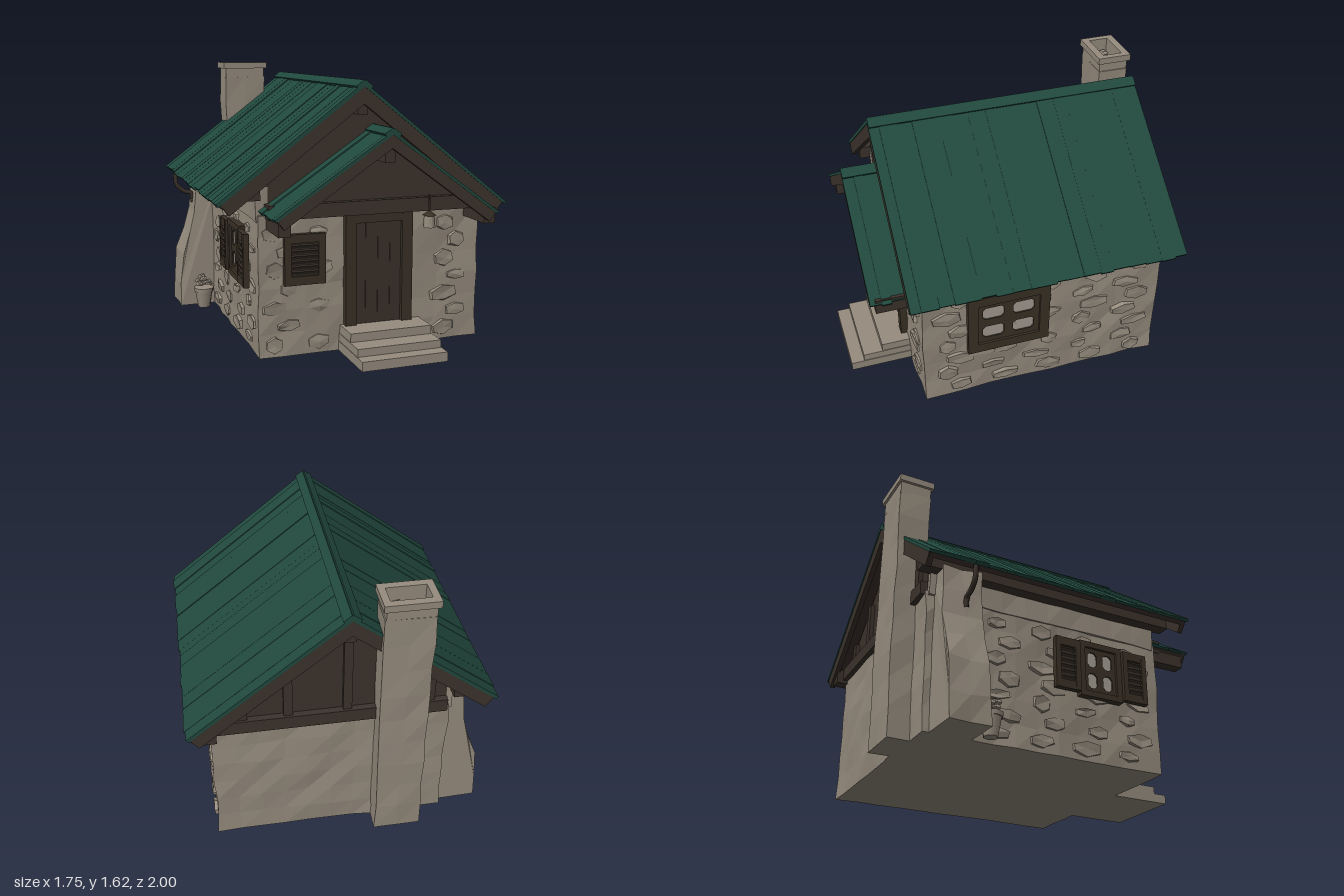
import * as THREE from 'three';

const mat = (name, color, side = THREE.FrontSide) => {
  const m = new THREE.MeshStandardMaterial({ color, side });
  m.name = name;
  return m;
};

export function createModel() {
  const house = new THREE.Group();
  house.name = 'cottage';
  const stone = mat('stone', 0x978d7f);
  const green = mat('roofGreen', 0x21493e);
  const timber = mat('timber', 0x3c332c);
  const frameWood = mat('frameWood', 0x393126);
  const doorWood = mat('doorWood', 0x3a302a);
  const pane = mat('paneGrey', 0xa69f94);

  let seed = 7;
  const rnd = () => (seed = (seed * 16807) % 2147483647) / 2147483647;
  const hash = (x, y, z) => {
    const s = Math.sin(x * 127.1 + y * 311.7 + z * 74.7) * 43758.5453;
    return (s - Math.floor(s)) * 2 - 1;
  };

  const add = (parent, name, geo, material, x = 0, y = 0, z = 0) => {
    const m = new THREE.Mesh(geo, material);
    m.name = name;
    m.position.set(x, y, z);
    parent.add(m);
    return m;
  };
  // box given by its limits
  const box = (parent, name, material, x0, x1, y0, y1, z0, z1) =>
    add(parent, name, new THREE.BoxGeometry(x1 - x0, y1 - y0, z1 - z0), material,
      (x0 + x1) / 2, (y0 + y1) / 2, (z0 + z1) / 2);
  // shift vertices by a position hash, then facet
  const rough = (geo, amp) => {
    const p = geo.attributes.position;
    for (let i = 0; i < p.count; i++) {
      const x = Math.round(p.getX(i) * 1000) / 1000;
      const y = Math.round(p.getY(i) * 1000) / 1000;
      const z = Math.round(p.getZ(i) * 1000) / 1000;
      const ground = y < 0.001;
      p.setXYZ(i, x + amp * hash(x, y, z), ground ? 0 : y + amp * hash(y, z, x), z + amp * hash(z, x, y));
    }
    const g = geo.index ? geo.toNonIndexed() : geo;
    g.computeVertexNormals();
    return g;
  };
  const stoneBox = (name, x0, x1, y0, y1, z0, z1, amp = 0.008, cell = 0.14) => {
    const n = (a, b) => Math.max(1, Math.round((b - a) / cell));
    const g = new THREE.BoxGeometry(x1 - x0, y1 - y0, z1 - z0, n(x0, x1), n(y0, y1), n(z0, z1));
    g.translate((x0 + x1) / 2, (y0 + y1) / 2, (z0 + z1) / 2);
    return add(house, name, rough(g, amp), stone);
  };
  const polygon = (pts) => new THREE.Shape(pts.map(([x, y]) => new THREE.Vector2(x, y)));
  const extrude = (shape, depth) => new THREE.ExtrudeGeometry(shape, { depth, bevelEnabled: false });
  // sloping slab between offsets a and b below the roof line
  const slope = (name, material, [rx, ry], [ex, ey], a, b, z0, z1, extra = 0) => {
    const len = Math.hypot(ex - rx, ey - ry), dx = (ex - rx) / len, dy = (ey - ry) / len;
    const s = Math.sign(dx), nx = s * dy, ny = -s * dx;
    const fx = ex + dx * extra, fy = ey + dy * extra;
    const g = extrude(polygon([[rx + nx * a, ry + ny * a], [fx + nx * a, fy + ny * a],
      [fx + nx * b, fy + ny * b], [rx + nx * b, ry + ny * b]]), z1 - z0);
    return add(house, name, g, material, 0, 0, z0);
  };
  // full gabled roof: planks, underside, bargeboards and ridge cap
  const roof = (name, ridge, eaves, z0, z1, board) => {
    for (const eave of eaves) {
      for (let z = z0; z < z1 - 0.001;) {
        let end = Math.min(z1, z + 0.05 + rnd() * 0.06);
        if (z1 - end < 0.03) end = z1;
        slope(name + 'Plank', green, ridge, eave, rnd() * 0.009, 0.024, z, end, rnd() * 0.014 - 0.007);
        z = end;
      }
      slope(name + 'Underside', timber, ridge, eave, 0.022, 0.05, z0 + 0.01, z1 - 0.01, -0.01);
      slope(name + 'Bargeboard', timber, ridge, eave, 0.02, board, z1 - 0.035, z1 - 0.004, -0.015);
      slope(name + 'BackBargeboard', timber, ridge, eave, 0.02, board, z0 + 0.004, z0 + 0.035, -0.015);
      const t = 0.045 / Math.abs(eave[0] - ridge[0]);
      slope(name + 'RidgeCap', green, ridge,
        [ridge[0] + (eave[0] - ridge[0]) * t, ridge[1] + (eave[1] - ridge[1]) * t], -0.008, 0.02, z0, z1);
    }
  };

  // stone walls
  stoneBox('walls', -0.62, 0.73, 0, 0.81, -0.86, 0.62);
  stoneBox('leftWallTop', -0.63, -0.56, 0.78, 0.97, -0.85, 0.61, 0.006);
  // raised stones on front and both sides
  const raised = (x, y, z, turn) => {
    const g = new THREE.CylinderGeometry(1, 1.12, 0.024, 6).rotateX(Math.PI / 2);
    g.scale(0.05 + rnd() * 0.045, 0.025 + rnd() * 0.025, 1);
    g.rotateZ((rnd() - 0.5) * 0.35);
    g.rotateY(turn);
    add(house, 'raisedStone', rough(g.translate(x, y, z), 0.006), stone);
  };
  for (let row = 0; row < 7; row++) {
    const y = 0.07 + row * 0.107;
    for (let i = 0; i < 5; i++) {
      const off = (row % 2) * 0.08;
      const x = -0.53 + i * 0.26 + off;
      if (x < -0.2 || x > 0.38) raised(Math.min(x, 0.64), y, 0.62, 0);
      const z = -0.72 + i * 0.28 + off;
      raised(0.73, y, z, Math.PI / 2);
      if (z > -0.5) raised(-0.62, y, z, -Math.PI / 2);
    }
  }
  // flared buttress at the back corner
  const flare = polygon([[-0.55, 0], [-0.85, 0], [-0.845, 0.15], [-0.83, 0.35], [-0.78, 0.5],
    [-0.74, 0.63], [-0.725, 0.78], [-0.72, 0.93], [-0.55, 0.95]]);
  add(house, 'buttress', rough(new THREE.ExtrudeGeometry(flare, { depth: 0.23, steps: 2, bevelEnabled: false })
    .translate(0, 0, -0.81), 0.009), stone);

  // timber gables
  add(house, 'gableWall', extrude(polygon([[-0.6, 0.79], [0.72, 0.79], [0.72, 0.87], [-0.03, 1.47], [-0.6, 1.04]]), 1.46),
    timber, 0, 0, -0.85);
  add(house, 'porchGable', extrude(polygon([[-0.55, 0.81], [0.67, 0.81], [0.06, 1.25]]), 0.1), timber, 0, 0, 0.56);
  box(house, 'porchBeam', timber, -0.58, 0.71, 0.8, 0.88, 0.6, 0.7);
  box(house, 'backBeam', timber, -0.6, 0.74, 0.79, 0.87, -0.89, -0.8);
  for (const [x, top] of [[-0.03, 1.42], [0.3, 1.15], [0.55, 0.98], [-0.5, 1.08]])
    box(house, 'backStud', timber, x - 0.025, x + 0.025, 0.85, top, -0.875, -0.84);
  box(house, 'ridgeBeam', timber, -0.06, 0.0, 1.36, 1.46, -0.92, 0.68);
  box(house, 'porchRidgeBeam', timber, 0.03, 0.09, 1.11, 1.22, 0.6, 0.86);
  for (const x of [-0.54, 0.67]) box(house, 'porchPurlin', timber, x - 0.035, x + 0.035, 0.74, 0.83, 0.58, 0.87);
  box(house, 'rightPurlin', timber, 0.7, 0.78, 0.77, 0.86, -0.93, 0.68);
  box(house, 'leftPurlin', timber, -0.7, -0.62, 0.91, 0.99, -0.92, 0.68);

  roof('roof', [-0.03, 1.545], [[-0.87, 0.91], [0.87, 0.835]], -0.95, 0.71, 0.1);
  roof('porchRoof', [0.06, 1.295], [[-0.61, 0.845], [0.72, 0.815]], 0.58, 0.9, 0.085);

  // chimney with hollow top
  stoneBox('chimney', -0.46, -0.19, 0, 1.52, -0.985, -0.8, 0.005, 0.17);
  const collar = (name, w, d, y0, y1) => {
    const s = polygon([[-w, -d], [w, -d], [w, d], [-w, d]]);
    s.holes.push(polygon([[-0.11, -0.06], [-0.11, 0.06], [0.11, 0.06], [0.11, -0.06]]));
    add(house, name, extrude(s, y1 - y0).rotateX(-Math.PI / 2), stone, -0.327, y0, -0.893);
  };
  collar('chimneyNeck', 0.133, 0.092, 1.5, 1.585);
  collar('chimneyCap', 0.15, 0.106, 1.58, 1.62);
  for (const dx of [-0.06, 0.01, 0.06])
    add(house, 'chimneyRubble', rough(new THREE.DodecahedronGeometry(0.035), 0.008), stone, -0.327 + dx, 1.53, -0.89 + dx * 0.3);

  // front steps
  [[1.0, 0.055], [0.92, 0.1], [0.8, 0.15]].forEach(([z, h], i) =>
    box(house, 'step', stone, -0.15 + i * 0.004, 0.36 - i * 0.004, 0, h, 0.6, z));

  // door and frame
  box(house, 'door', doorWood, -0.07, 0.24, 0.15, 0.75, 0.6, 0.637);
  for (const x of [-0.12, 0.225]) box(house, 'doorPost', frameWood, x, x + 0.065, 0.15, 0.8, 0.6, 0.662);
  box(house, 'doorLintel', frameWood, -0.12, 0.29, 0.745, 0.8, 0.6, 0.66);
  for (const x of [0.01, 0.085, 0.16]) box(house, 'doorGroove', frameWood, x - 0.003, x + 0.003, 0.16, 0.745, 0.635, 0.64);

  // four-pane window facing local +z
  const windowUnit = (name, w, h, trim, bar) => {
    const g = new THREE.Group();
    g.name = name;
    const W = w / 2, H = h / 2, iw = W - trim, ih = H - trim, c = 0.018;
    const outer = polygon([[-W, -H], [W, -H], [W, H], [-W, H]]);
    outer.holes.push(polygon([[-iw, -ih], [-iw, ih], [iw, ih], [iw, -ih]]));
    add(g, 'windowTrim', extrude(outer, 0.06), frameWood, 0, 0, -0.03);
    const sash = polygon([[-iw, -ih], [iw, -ih], [iw, ih], [-iw, ih]]);
    for (const sx of [-1, 1]) for (const sy of [-1, 1]) {
      const a = bar / 2, bx = iw - bar * 0.6, by = ih - bar * 0.6;
      sash.holes.push(polygon([[a + c, a], [bx - c, a], [bx, a + c], [bx, by - c], [bx - c, by],
        [a + c, by], [a, by - c], [a, a + c]].map(([x, y]) => [x * sx, y * sy])));
    }
    add(g, 'windowSash', extrude(sash, 0.04), frameWood, 0, 0, -0.025);
    box(g, 'windowPanes', pane, -iw, iw, -ih, ih, 0, 0.007);
    house.add(g);
    return g;
  };
  // slatted shutter facing local +z
  const shutter = (name, w, h) => {
    const g = new THREE.Group();
    g.name = name;
    const W = w / 2, H = h / 2, t = Math.min(0.04, w * 0.2);
    box(g, 'shutterBack', frameWood, -W, W, -H, H, -0.01, 0.006);
    for (const s of [-1, 1]) {
      box(g, 'shutterStile', frameWood, s * (W - t / 2) - t / 2, s * (W - t / 2) + t / 2, -H, H, -0.01, 0.024);
      box(g, 'shutterRail', frameWood, -W + t, W - t, s * (H - 0.025) - 0.025, s * (H - 0.025) + 0.025, -0.01, 0.022);
    }
    for (let i = 0; i < 6; i++)
      box(g, 'shutterSlat', doorWood, -W + t, W - t, -0.01, 0.01, 0, 0.012)
        .position.set(0, -H + 0.07 + (h - 0.14) * i / 5, 0.01);
    g.children.filter((m) => m.name === 'shutterSlat').forEach((m) => { m.rotation.x = 0.5; });
    house.add(g);
    return g;
  };
  const rightWindow = windowUnit('rightWindow', 0.5, 0.41, 0.06, 0.055);
  rightWindow.position.set(0.74, 0.535, 0.11);
  rightWindow.rotation.y = Math.PI / 2;
  const leftWindow = windowUnit('leftWindow', 0.28, 0.34, 0.035, 0.04);
  leftWindow.position.set(-0.635, 0.54, 0.21);
  leftWindow.rotation.y = -Math.PI / 2;
  for (const s of [-1, 1]) {
    const sh = shutter('leftShutter', 0.16, 0.31);
    sh.position.set(-0.655, 0.54, 0.21 + s * 0.225);
    sh.rotation.y = -Math.PI / 2;
  }
  shutter('frontShutter', 0.24, 0.29).position.set(-0.36, 0.56, 0.635);

  // hanging lantern by the door
  add(house, 'lantern', new THREE.CylinderGeometry(0.03, 0.036, 0.07, 6), stone, 0.36, 0.745, 0.73);
  add(house, 'lanternCap', new THREE.ConeGeometry(0.042, 0.03, 6), frameWood, 0.36, 0.795, 0.73);
  add(house, 'lanternHook', new THREE.CylinderGeometry(0.006, 0.006, 0.1, 5), frameWood, 0.36, 0.85, 0.73);

  // drainpipe below the left eave
  const pipe = new THREE.CatmullRomCurve3([[-0.85, 0.89], [-0.84, 0.81], [-0.79, 0.765], [-0.745, 0.75], [-0.735, 0.69]]
    .map(([x, y]) => new THREE.Vector3(x, y, -0.68)));
  add(house, 'drainpipe', new THREE.TubeGeometry(pipe, 12, 0.016, 6), timber);

  // planter beside the buttress
  add(house, 'pot', new THREE.CylinderGeometry(0.06, 0.04, 0.11, 8), stone, -0.705, 0.055, -0.51);
  add(house, 'potRim', new THREE.CylinderGeometry(0.068, 0.066, 0.025, 8), stone, -0.705, 0.12, -0.51);
  for (let i = 0; i < 7; i++) {
    const a = i * 0.9;
    add(house, 'potPlant', rough(new THREE.IcosahedronGeometry(0.028), 0.008), stone,
      -0.705 + 0.035 * Math.cos(a), 0.15 + 0.02 * (i % 3), -0.51 + 0.035 * Math.sin(a));
  }
  return house;
}
